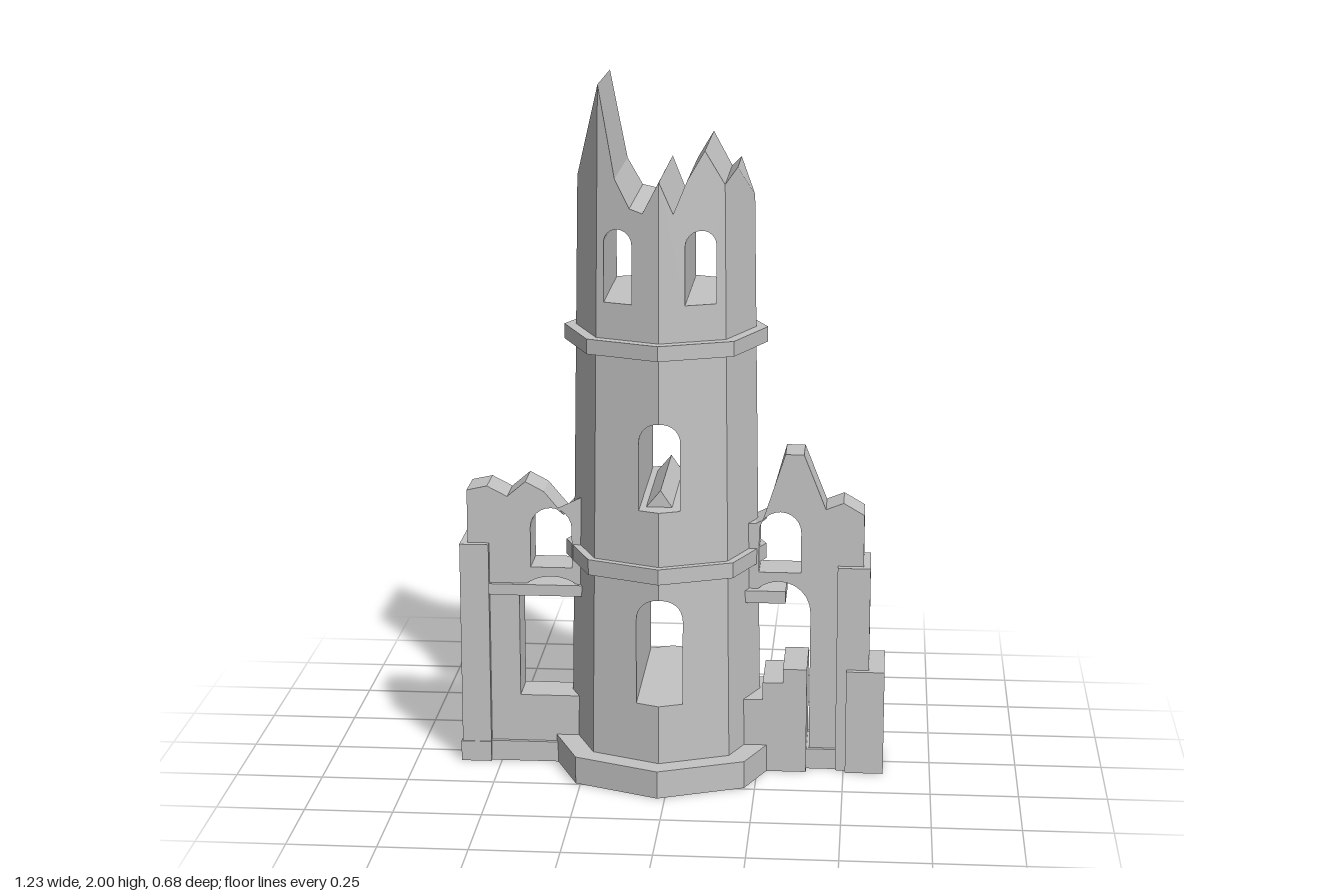
import * as THREE from 'three';

const stone = new THREE.MeshStandardMaterial({ color: 0xc4c4c4 });
stone.name = 'stone';

const C = -0.022;                             // tower axis in x
const K = Math.SQRT1_2;
const radius = (y) => 0.278 - 0.0165 * y;     // tapering octagon radius

// Half depth of the tapered octagon at a point of its elevation
function halfDepth(x, y) {
  const r = radius(y), d = Math.abs(x - C);
  return d <= K * r ? r - (1 - K) * d / K : Math.max(0, K * (r - d) / (1 - K));
}

// Arch curve from angle a0 to a1
function arc(cx, cy, rx, ry, a0, a1, n = 12) {
  return Array.from({ length: n + 1 }, (_, i) => {
    const a = a0 + (a1 - a0) * i / n;
    return [cx + rx * Math.cos(a), cy + ry * Math.sin(a)];
  });
}

// Full arched opening outline
function arch(cx, y0, spring, rx, ry = rx) {
  return [[cx - rx, y0], [cx + rx, y0], ...arc(cx, spring, rx, ry, 0, Math.PI)];
}

const toVectors = (points) => points.map(([x, y]) => new THREE.Vector2(x, y));

function slab(outline, holes, depth) {
  const shape = new THREE.Shape(toVectors(outline));
  holes.forEach((h) => shape.holes.push(new THREE.Path(toVectors(h))));
  const g = new THREE.ExtrudeGeometry(shape, { depth, bevelEnabled: false });
  return g.translate(0, 0, -depth / 2);
}

// One vertical strip of the tower, fitted to the octagon's faces
function towerStrip(outline, holes = []) {
  const g = slab(outline, holes, 2);
  const p = g.attributes.position;
  for (let i = 0; i < p.count; i++) p.setZ(i, p.getZ(i) * halfDepth(p.getX(i), p.getY(i)));
  g.computeVertexNormals();
  return g;
}

// Tower centre line with half of each middle window notched out of it
function centreLine(side) {
  const points = [[C, 0]];
  for (const [y0, spring, r] of [[0.25, 0.496, 0.066], [0.817, 1.012, 0.058]]) {
    points.push([C, y0], [C + side * r, y0]);
    arc(0, spring, r, r, 0, Math.PI / 2, 8).forEach(([x, y]) => points.push([C + side * x, y]));
  }
  return points;
}

export function createModel() {
  const model = new THREE.Group();
  model.name = 'ruinedTower';

  const add = (parent, name, geometry) => {
    const mesh = new THREE.Mesh(geometry, stone);
    mesh.name = name;
    parent.add(mesh);
    return mesh;
  };
  const block = (parent, name, x0, x1, y0, y1, halfZ) => {
    const g = new THREE.BoxGeometry(x1 - x0, y1 - y0, halfZ * 2);
    add(parent, name, g.translate((x0 + x1) / 2, (y0 + y1) / 2, 0));
  };
  const group = (name) => {
    const g = new THREE.Group();
    g.name = name;
    model.add(g);
    return g;
  };

  // Tower body in four strips with a broken top
  const tower = group('tower');
  const rim = (y, side) => [C + side * radius(y), y];
  const corner = (y, side) => [C + side * K * radius(y), y];

  add(tower, 'towerRightSide', towerStrip([rim(0, -1), corner(0, -1), corner(2, -1), rim(1.724, -1)]));
  add(tower, 'towerRightHalf', towerStrip(
    [corner(0, -1), ...centreLine(-1), [C, 1.745], [-0.069, 1.655], [-0.106, 1.666],
      [-0.148, 1.745], corner(2, -1)],
    [arch(-0.14, 1.4, 1.566, 0.04)]));
  add(tower, 'towerLeftHalf', towerStrip(
    [corner(0, 1), ...centreLine(1), [C, 1.745], [0.016, 1.655], [0.053, 1.745],
      [0.1, 1.825], corner(1.73, 1)],
    [arch(0.09, 1.4, 1.564, 0.042)]));
  add(tower, 'towerLeftSide', towerStrip(
    [corner(0, 1), rim(0, 1), rim(1.676, 1), [0.185, 1.767], corner(1.73, 1)]));

  // Broken sill inside the middle window
  add(tower, 'brokenSill', slab([[C - 0.042, 0.815], [C + 0.034, 0.815], [C, 0.865]], [], 0.4));

  // Octagonal plinth and string courses
  for (const [name, r, y0, y1] of [
    ['plinth', 0.342, 0, 0.08], ['lowerBand', 0.29, 0.615, 0.66], ['upperBand', 0.29, 1.255, 1.298],
  ]) {
    const g = new THREE.CylinderGeometry(r, r, y1 - y0, 8).toNonIndexed();
    g.computeVertexNormals();
    add(tower, name, g.translate(C, (y0 + y1) / 2, 0));
  }

  // Ruined wall on the right side
  const rightWall = group('rightWall');
  add(rightWall, 'rightWallCore', slab(
    [[-0.593, 0], [-0.2, 0], [-0.2, 0.8], [-0.265, 0.8], [-0.312, 0.748], [-0.37, 0.817],
      [-0.423, 0.845], [-0.476, 0.8], [-0.534, 0.83], [-0.593, 0.817]],
    [arch(-0.35, 0.2, 0.5, 0.094, 0.063), arch(-0.35, 0.59, 0.708, 0.06)], 0.12));
  block(rightWall, 'rightPier', -0.614, -0.53, 0, 0.66, 0.08);
  block(rightWall, 'rightPierFoot', -0.618, -0.53, 0, 0.06, 0.083);
  block(rightWall, 'rightWallFoot', -0.54, -0.25, 0, 0.06, 0.072);
  block(rightWall, 'rightLedge', -0.54, -0.25, 0.508, 0.541, 0.074);

  // Ruined wall on the left side
  const leftWall = group('leftWall');
  add(leftWall, 'leftWallCore', slab(
    [[0.15, 0], [0.55, 0], [0.55, 0.765], [0.49, 0.8], [0.44, 0.78], [0.376, 0.94],
      [0.323, 0.94], [0.27, 0.75], [0.24, 0.735], [0.15, 0.735]],
    [arch(0.307, 0.06, 0.471, 0.092), arch(0.31, 0.59, 0.71, 0.06)], 0.12));
  block(leftWall, 'leftPier', 0.476, 0.57, 0, 0.613, 0.082);
  block(leftWall, 'leftButtress', 0.505, 0.615, 0, 0.308, 0.1);
  block(leftWall, 'leftWallFoot', 0.38, 0.51, 0, 0.06, 0.072);
  block(leftWall, 'leftLedge', 0.2, 0.328, 0.505, 0.541, 0.085);

  // Stepped rubble beside the tower
  add(leftWall, 'steppedRubble', slab(
    [[0.15, 0], [0.392, 0], [0.392, 0.312], [0.323, 0.312], [0.323, 0.27], [0.265, 0.27],
      [0.265, 0.218], [0.15, 0.218]], [], 0.204));

  return model;
}
